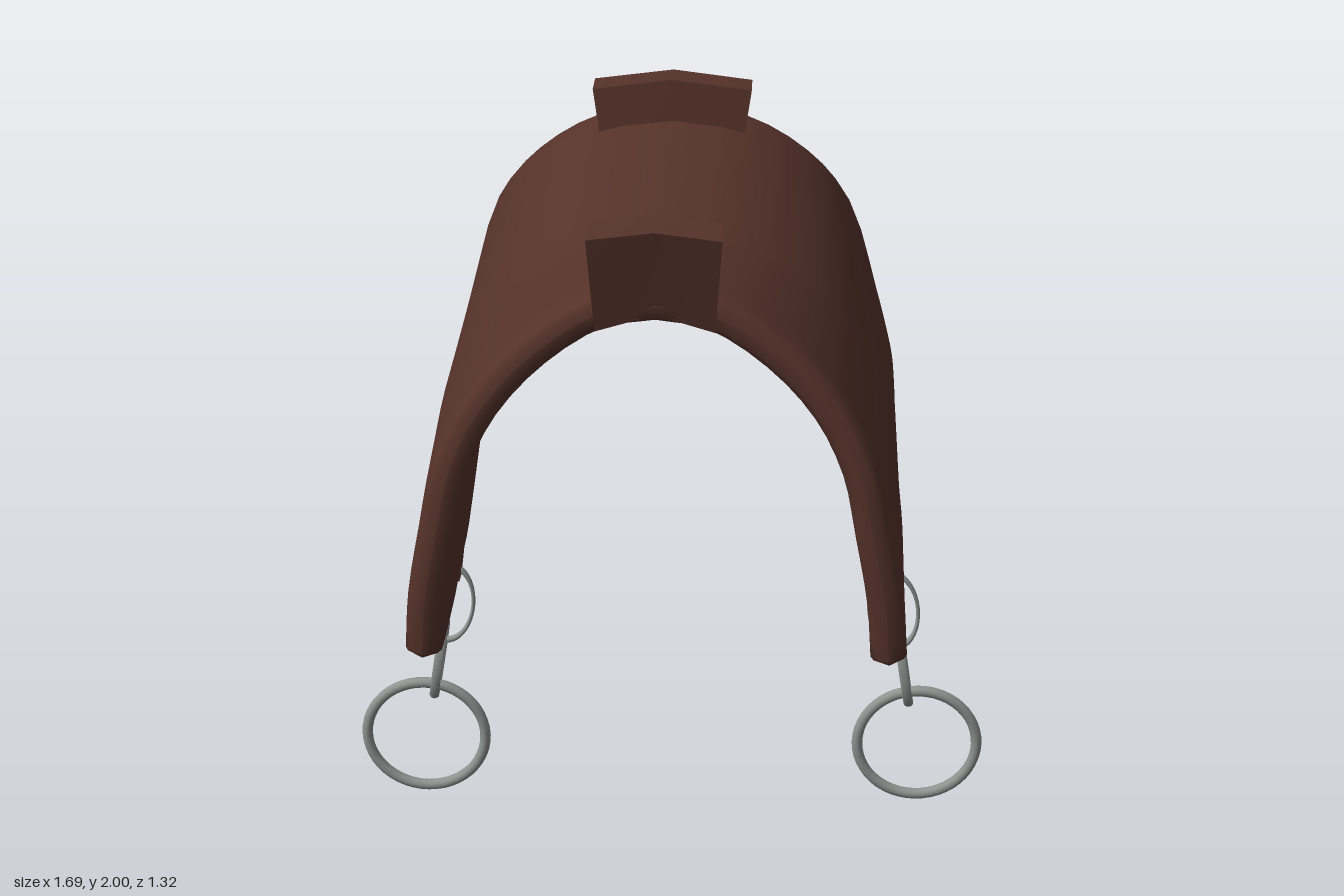
import * as THREE from 'three';

const leather = new THREE.MeshStandardMaterial({ color: 0x55322a });
leather.name = 'brown leather';
const steel = new THREE.MeshStandardMaterial({ color: 0x8f9491 });
steel.name = 'grey steel';

const lerp = THREE.MathUtils.lerp;

// Piecewise linear lookup in a list of [key, value] with rising keys
function table(list, k) {
  for (let i = 1; i < list.length; i++) {
    const [k0, a] = list[i - 1], [k1, b] = list[i];
    if (k <= k1) return lerp(a, b, Math.max(0, (k - k0) / (k1 - k0)));
  }
  return list[list.length - 1][1];
}

// Half arches (x, y) from the ridge down to the hip, at front, middle and back
const FRONT = [[0, 1.795], [0.14, 1.77], [0.3, 1.67], [0.43, 1.53], [0.505, 1.38]];
const MIDDLE = [[0, 1.785], [0.17, 1.755], [0.33, 1.66], [0.45, 1.53], [0.53, 1.37]];
const BACK = [[0, 1.925], [0.19, 1.895], [0.35, 1.795], [0.455, 1.66], [0.535, 1.39]];
// Outline of the front and back edges, ridge to hem
const FRONT_Z = [0.615, 0.61, 0.62, 0.635, 0.65, 0.655, 0.652, 0.64];
const BACK_Z = [-0.515, -0.52, -0.55, -0.59, -0.64, -0.65, -0.66, -0.66];
// Height of the hem along z
const HEM = [[-0.66, 1.145], [-0.55, 1.085], [-0.4, 1.025], [-0.25, 0.96],
  [-0.1, 0.9], [0.2, 0.87], [0.5, 0.885], [0.64, 0.905]];
const THICK = 0.085, ROWS = 21;

// Smooth half arch at v (0 = front edge, 1 = back edge)
function archCurve(v) {
  const [from, to, f] = v < 0.4 ? [FRONT, MIDDLE, v / 0.4]
    : [MIDDLE, BACK, Math.pow((v - 0.4) / 0.6, 1.15)];
  const pts = from.map((p, i) => [lerp(p[0], to[i][0], f), lerp(p[1], to[i][1], f)]);
  const hip = pts[4];
  const hem = table(HEM, lerp(0.64, -0.66, v));
  const hemX = table([[0, 0.585], [0.45, 0.598], [1, 0.588]], v);
  [[0.45, 0.34], [0.85, 0.7], [1, 1]].forEach(([fx, fy]) =>
    pts.push([lerp(hip[0], hemX, fx), lerp(hip[1], hem, fy)]));
  return new THREE.CatmullRomCurve3(pts.map(([x, y], i) =>
    new THREE.Vector3(x, y, lerp(FRONT_Z[i], BACK_Z[i], v))));
}

// Closed ring around one arch; fill 0..1 scales the thickness for rounded rims
function archRing(v, fill) {
  const curve = archCurve(v), outer = [], inner = [];
  let tip;
  for (let k = 0; k <= ROWS; k++) {
    const p = curve.getPoint(k / ROWS), t = curve.getTangent(k / ROWS);
    const n = k === 0 ? new THREE.Vector3(0, 1, 0) : new THREE.Vector3(-t.y, t.x, 0).normalize();
    const c = p.clone().addScaledVector(n, -THICK / 2);
    outer.push(c.clone().addScaledVector(n, fill * THICK / 2));
    inner.push(c.clone().addScaledVector(n, -fill * THICK / 2));
    tip = c.clone().addScaledVector(t, 0.02 * fill);
  }
  const flip = (p) => new THREE.Vector3(-p.x, p.y, p.z);
  return [tip, ...outer.slice().reverse(), ...outer.slice(1).map(flip), flip(tip),
    ...inner.slice(1).reverse().map(flip), ...inner];
}

// Saddle body lofted from front to back
function saddleGeometry() {
  const rings = [archRing(0, 0), archRing(0.002, 0.5), archRing(0.012, 0.82), archRing(0.035, 1)];
  for (let i = 1; i < 20; i++) rings.push(archRing(lerp(0.035, 0.965, i / 20), 1));
  rings.push(archRing(0.965, 1), archRing(0.988, 0.82), archRing(0.998, 0.5), archRing(1, 0));
  const m = rings[0].length, index = [];
  for (let i = 0; i < rings.length - 1; i++) {
    for (let j = 0; j < m; j++) {
      const a = i * m + j, b = i * m + (j + 1) % m;
      index.push(a, a + m, b, b, a + m, b + m);
    }
  }
  const g = new THREE.BufferGeometry().setFromPoints(rings.flat());
  g.setIndex(index);
  g.computeVertexNormals();
  return g;
}

// Block bent down at both ends; each corner is { w: half width, y, z, drop }
function bentBlock({ topFront, topBack, lowFront, lowBack }) {
  const g = new THREE.BoxGeometry(2, 2, 2, 2, 1, 1);
  const p = g.attributes.position;
  for (let i = 0; i < p.count; i++) {
    const x = p.getX(i), front = p.getZ(i) > 0;
    const [w, y, z, drop] = p.getY(i) > 0 ? (front ? topFront : topBack) : (front ? lowFront : lowBack);
    p.setXYZ(i, x * w, y - Math.abs(x) * drop, z);
  }
  g.computeVertexNormals();
  return g;
}

export function createModel() {
  const model = new THREE.Group();
  model.name = 'saddle';
  const add = (parent, name, geometry, material) => {
    const mesh = new THREE.Mesh(geometry, material);
    mesh.name = name;
    parent.add(mesh);
    return mesh;
  };

  add(model, 'saddleBody', saddleGeometry(), leather);

  // Raised tabs at the front and the back of the ridge
  add(model, 'pommel', bentBlock({
    topFront: [0.15, 1.937, 0.662, 0.018], topBack: [0.15, 1.947, 0.555, 0.018],
    lowFront: [0.135, 1.73, 0.608, 0.04], lowBack: [0.135, 1.75, 0.49, 0.04],
  }), leather);
  add(model, 'cantle', bentBlock({
    topFront: [0.2, 2.0, -0.41, 0.025], topBack: [0.2, 2.0, -0.515, 0.025],
    lowFront: [0.178, 1.86, -0.395, 0.03], lowBack: [0.178, 1.86, -0.48, 0.03],
  }), leather);

  // Strap and hanging rings on each side
  for (const [side, s] of [['left', 1], ['right', -1]]) {
    const group = new THREE.Group();
    group.name = side + 'Stirrup';
    model.add(group);

    const strap = add(group, side + 'Strap', bentBlock({
      topFront: [0.034, 1.03, -0.235, 0], topBack: [0.034, 1.03, -0.392, 0],
      lowFront: [0.018, 0.655, -0.31, 0], lowBack: [0.018, 0.655, -0.37, 0],
    }), leather);
    // Lean the strap outwards towards its tip
    const p = strap.geometry.attributes.position;
    for (let i = 0; i < p.count; i++) {
      p.setX(i, p.getX(i) + s * lerp(0.58, 0.552, (p.getY(i) - 0.655) / 0.375));
    }
    strap.geometry.computeVertexNormals();

    const upper = add(group, side + 'UpperLink', new THREE.TorusGeometry(0.112, 0.009, 10, 36), steel);
    upper.scale.set(0.58, 1, 1);
    upper.position.set(s * 0.595, 0.577, -0.342);
    upper.rotation.set(0.06, 0, s * 0.12);

    const lower = add(group, side + 'LowerLink', new THREE.TorusGeometry(0.11, 0.012, 10, 36), steel);
    lower.scale.set(0.4, 1, 1.1);
    lower.position.set(s * 0.626, 0.41, -0.348);
    lower.rotation.set(0, Math.PI / 2, s * 0.16, 'ZYX');

    const ring = add(group, side + 'Ring', new THREE.TorusGeometry(0.162, 0.0145, 12, 48), steel);
    ring.position.set(s * 0.67, 0.1765, -0.352);
    ring.rotation.x = 0.06;
  }
  return model;
}
